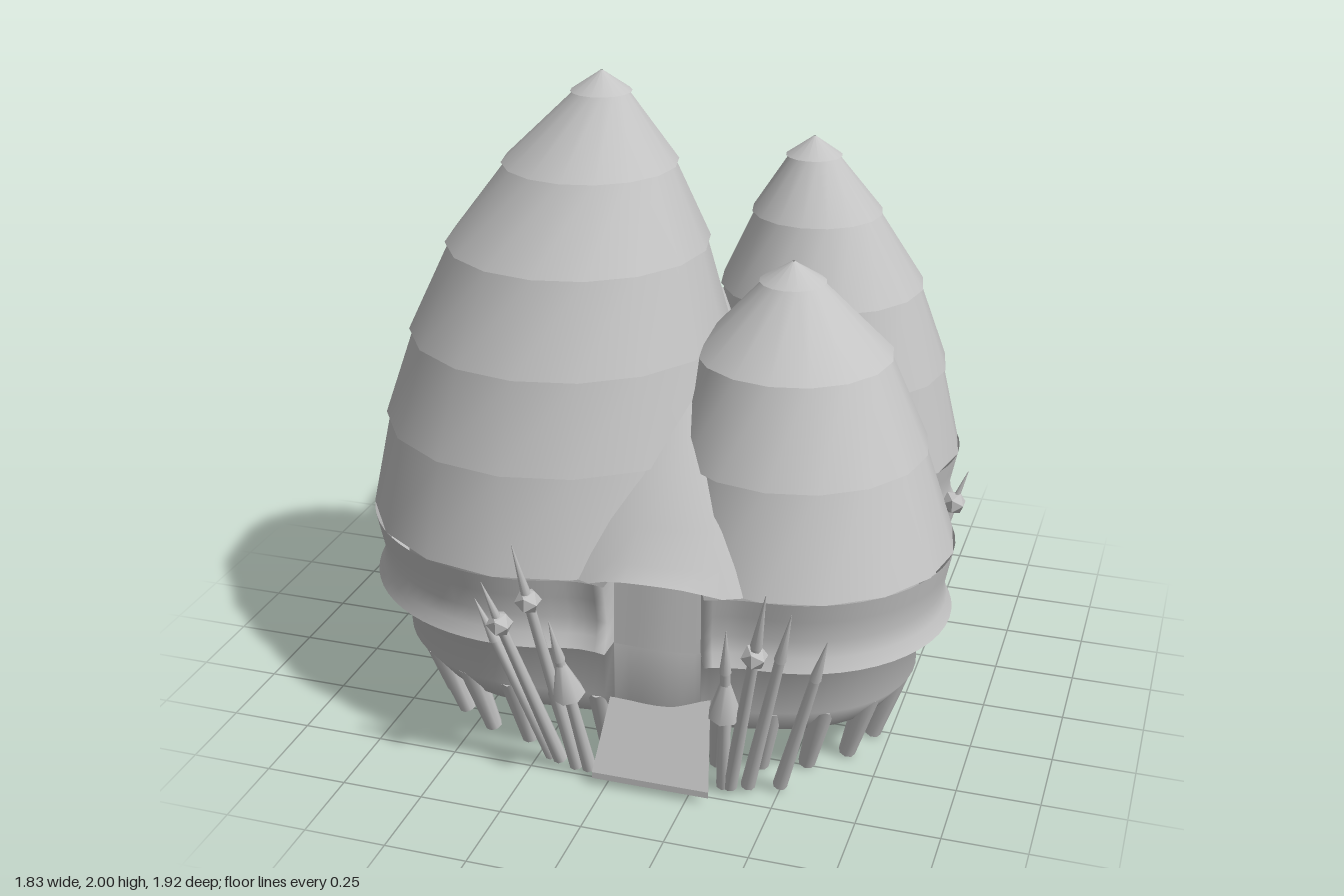
import * as THREE from 'three';

const thatch = new THREE.MeshStandardMaterial({ color: 0xc4c4c4, side: THREE.DoubleSide });
thatch.name = 'pale grey';

// Skin a stack of closed rings, listed from low to high
function loft(rings) {
  const n = rings[0].length, index = [];
  for (let i = 0; i < rings.length - 1; i++) {
    for (let j = 0; j < n; j++) {
      const a = i * n + j, b = i * n + (j + 1) % n;
      index.push(a, b, b + n, a, b + n, a + n);
    }
  }
  const g = new THREE.BufferGeometry();
  g.setAttribute('position', new THREE.Float32BufferAttribute(rings.flat(2), 3));
  g.setIndex(index);
  g.computeVertexNormals();
  return g;
}

function circle(x, z, r, y, n = 16) {
  return Array.from({ length: n }, (_, j) => {
    const t = j / n * Math.PI * 2;
    return [x + r * Math.sin(t), y, z + r * Math.cos(t)];
  });
}

// Ground plan: four round rooms and the porch between the front two
const PLAN = [
  [-0.33, 0.22, 0.585], [-0.335, -0.44, 0.425], [0.36, -0.45, 0.445],
  [0.45, 0.26, 0.465], [0.12, 0.2, 0.585],
];
const DOOR = [0.0, 0.37];
const ANGLES = Array.from({ length: 112 }, (_, i) => -Math.PI + i / 112 * Math.PI * 2 + 0.01)
  .concat(DOOR.flatMap((d) => [d - 0.001, d + 0.001])).sort((a, b) => a - b);

// Distance from the centre to the joined outline, pulled in by inset
function reach(t, inset) {
  const s = Math.sin(t), c = Math.cos(t);
  return Math.max(...PLAN.map(([x, z, r]) => {
    const along = x * s + z * c, off = x * c - z * s, d = (r - inset) ** 2 - off * off;
    return d > 0 ? along + Math.sqrt(d) : 0;
  }));
}

// The same distance with the notches between rooms softened over an angle
function softReach(t, inset, spread) {
  let sum = 0;
  for (let k = -4; k <= 4; k++) sum += reach(t + k / 4 * spread, inset);
  return sum / 9;
}

const WALL = 0.088, WALL_SOFT = 0.22, BAND_SOFT = 0.07;
function wallRing(y, scale = 1) {
  return ANGLES.map((t) => {
    const r = softReach(t, WALL, WALL_SOFT) * scale;
    return [r * Math.sin(t), y, r * Math.cos(t)];
  });
}

// Eaves ring, set back behind the wall face across the doorway
function bandRing(y, inset) {
  return ANGLES.map((t) => {
    const inDoor = t > DOOR[0] && t < DOOR[1];
    const r = inDoor ? softReach(t, WALL, WALL_SOFT) - 0.01 : softReach(t, inset, BAND_SOFT);
    return [r * Math.sin(t), y, r * Math.cos(t)];
  });
}

export function createModel() {
  const model = new THREE.Group();
  const add = (geometry, name, parent = model) => {
    const m = new THREE.Mesh(geometry, thatch);
    m.name = name;
    parent.add(m);
    return m;
  };

  // Roofs: overlapping tiers [y, x, z, radius] from eaves to apex
  const roofs = {
    tallRoof: [[0.66, -0.33, 0.22, 0.585], [0.95, -0.325, 0.19, 0.55], [1.22, -0.305, 0.18, 0.49],
      [1.49, -0.28, 0.165, 0.4], [1.73, -0.245, 0.145, 0.265], [1.94, -0.212, 0.13, 0.092], [2, -0.21, 0.13, 0.004]],
    backRightRoof: [[0.66, -0.335, -0.44, 0.425], [0.95, -0.33, -0.435, 0.365], [1.24, -0.32, -0.43, 0.25],
      [1.49, -0.3, -0.43, 0.085], [1.55, -0.3, -0.43, 0.004]],
    backLeftRoof: [[0.66, 0.36, -0.45, 0.445], [0.95, 0.35, -0.445, 0.4], [1.22, 0.335, -0.435, 0.33],
      [1.46, 0.315, -0.425, 0.21], [1.64, 0.3, -0.425, 0.09], [1.7, 0.3, -0.425, 0.004]],
    lowRoof: [[0.66, 0.45, 0.26, 0.465], [0.95, 0.43, 0.23, 0.39], [1.22, 0.405, 0.2, 0.295],
      [1.43, 0.39, 0.18, 0.1], [1.49, 0.39, 0.18, 0.004]],
  };
  for (const [name, tiers] of Object.entries(roofs)) {
    const roof = new THREE.Group();
    roof.name = name;
    model.add(roof);
    for (let i = 0; i < tiers.length - 1; i++) {
      const [y0, x0, z0, r0] = tiers[i], [y1, x1, z1, r1] = tiers[i + 1];
      const top = i === tiers.length - 2 ? r1 : r1 - 0.012;
      add(loft([circle(x0, z0, r0, y0), circle(x1, z1, top, y1)]), 'roofTier', roof);
      add(loft([circle(x0, z0, r0 - 0.025, y0 + 0.002), circle(x0, z0, r0, y0)]), 'tierLip', roof);
    }
  }

  // Porch saddle between the front roofs, its lower edge arched over the door
  const porch = [[0.66, 0.2, 0.585], [0.73, 0.2, 0.54], [0.82, 0.2, 0.475], [0.95, 0.18, 0.385],
    [1.1, 0.13, 0.27], [1.2, 0.09, 0.13], [1.24, 0.08, 0.01]].map(([y, z, r]) => circle(0.12, z, r, y, 64));
  for (const v of porch[0]) {
    const u = (v[0] - 0.14) / 0.17;
    if (v[2] > 0 && Math.abs(u) < 1) v[1] += 0.035 * Math.sqrt(1 - u * u);
  }
  add(loft(porch), 'porchSaddle');

  // Fillers in the other valleys: x, z, lower radius, height
  for (const [x, z, r, top] of [[0.4, -0.13, 0.25, 1.15], [-0.5, -0.2, 0.2, 1.05],
    [-0.02, -0.52, 0.2, 1.05], [0.03, -0.16, 0.2, 1.25]]) {
    add(loft([[0.64, r], [(0.66 + top) / 2, r * 0.75], [top, r * 0.25], [top + 0.03, 0.005]]
      .map(([y, radius]) => circle(x, z, radius, y))), 'valleyFiller');
  }

  // Concave eaves band
  add(loft([[0.44, 0], [0.48, 0.018], [0.53, 0.026], [0.6, 0.012], [0.66, 0]]
    .map(([y, inset]) => bandRing(y, inset))), 'eavesBand');
  // Floor bowl, wall and eaves underside as one smooth shell
  add(loft([...[[0.035, 0.01], [0.05, 0.5], [0.09, 0.75], [0.16, 0.92], [0.25, 1], [0.435, 1]]
    .map(([y, s]) => wallRing(y, s)), bandRing(0.44, 0)]), 'floorAndWall');
  add(loft([wallRing(0.43), wallRing(0.71, 0.99)]), 'doorwayWall');

  // Entrance ramp, wider at the ground
  const ramp = new THREE.BoxGeometry(1, 1, 1), p = ramp.attributes.position;
  for (let i = 0; i < p.count; i++) {
    const foot = p.getZ(i) > 0, under = p.getY(i) > 0 ? 0 : -0.02;
    p.setXYZ(i, 0.14 + p.getX(i) * (foot ? 0.36 : 0.3), (foot ? 0.045 : 0.29) + under, foot ? 0.79 : 0.67);
  }
  ramp.computeVertexNormals();
  add(ramp, 'ramp');

  // Rod between two points
  const UP = new THREE.Vector3(0, 1, 0);
  function rod(from, to, r0, r1, name, sides = 8) {
    const a = new THREE.Vector3(...from), b = new THREE.Vector3(...to), d = b.clone().sub(a);
    const m = add(new THREE.CylinderGeometry(r1, r0, d.length(), sides), name);
    m.position.copy(a).add(b).multiplyScalar(0.5);
    m.quaternion.setFromUnitVectors(UP, d.normalize());
  }

  // Short stilts around the floor, leaning outwards
  const STILTS = 34;
  for (let i = 0; i < STILTS; i++) {
    const t = (i + 0.5) / STILTS * Math.PI * 2;
    if (t < 0.4) continue;
    const r = softReach(t, WALL, WALL_SOFT), s = Math.sin(t), c = Math.cos(t);
    rod([s * r * 0.86, 0.01, c * r * 0.86], [s * r * 0.95, 0.25, c * r * 0.95], 0.026, 0.038, 'stilt');
  }

  // Leaning spears: foot, tip, ornament and its position along the shaft
  const spears = [
    [[-0.2, 0.02, 0.7], [-0.37, 0.6, 0.84]],
    [[-0.17, 0.02, 0.71], [-0.3, 0.72, 0.95], 'knob', 0.78],
    [[-0.11, 0.02, 0.73], [-0.2, 0.86, 0.96], 'knob', 0.76],
    [[-0.07, 0.02, 0.73], [-0.12, 0.6, 0.9], 'cone', 0.62],
    [[0.34, 0.02, 0.7], [0.39, 0.63, 0.86], 'cone', 0.58],
    [[0.36, 0.02, 0.7], [0.52, 0.8, 0.93], 'knob', 0.7],
    [[0.41, 0.02, 0.68], [0.57, 0.7, 0.84]],
    [[0.5, 0.02, 0.65], [0.66, 0.6, 0.78]],
    [[0.63, 0.02, -0.16], [0.88, 0.72, -0.19], 'knob', 0.84],
    [[0.6, 0.02, -0.2], [0.78, 0.44, -0.28]],
    [[-0.04, 0.02, -0.68], [-0.12, 0.75, -0.96], 'knob', 0.75],
    [[0.0, 0.02, -0.66], [0.02, 0.68, -0.92], 'knob', 0.82],
    [[0.02, 0.02, -0.65], [0.04, 0.55, -0.88], 'cone', 0.65],
    [[-0.66, 0.02, -0.3], [-0.87, 0.58, -0.45], 'cone', 0.65],
    [[-0.66, 0.02, -0.24], [-0.9, 0.55, -0.27], 'cone', 0.68],
  ];
  for (const [foot, tip, ornament, f] of spears) {
    const at = (k) => foot.map((v, i) => v + (tip[i] - v) * k);
    rod(foot, at(0.75), 0.022, 0.015, 'spearShaft');
    rod(at(0.75), tip, 0.018, 0.001, 'spearTip');
    if (ornament === 'knob') {
      add(new THREE.IcosahedronGeometry(0.04, 0), 'spearKnob').position.set(...at(f));
    } else if (ornament === 'cone') {
      rod(at(f - 0.1), at(f + 0.12), 0.05, 0.012, 'spearCollar', 7);
    }
  }
  return model;
}
